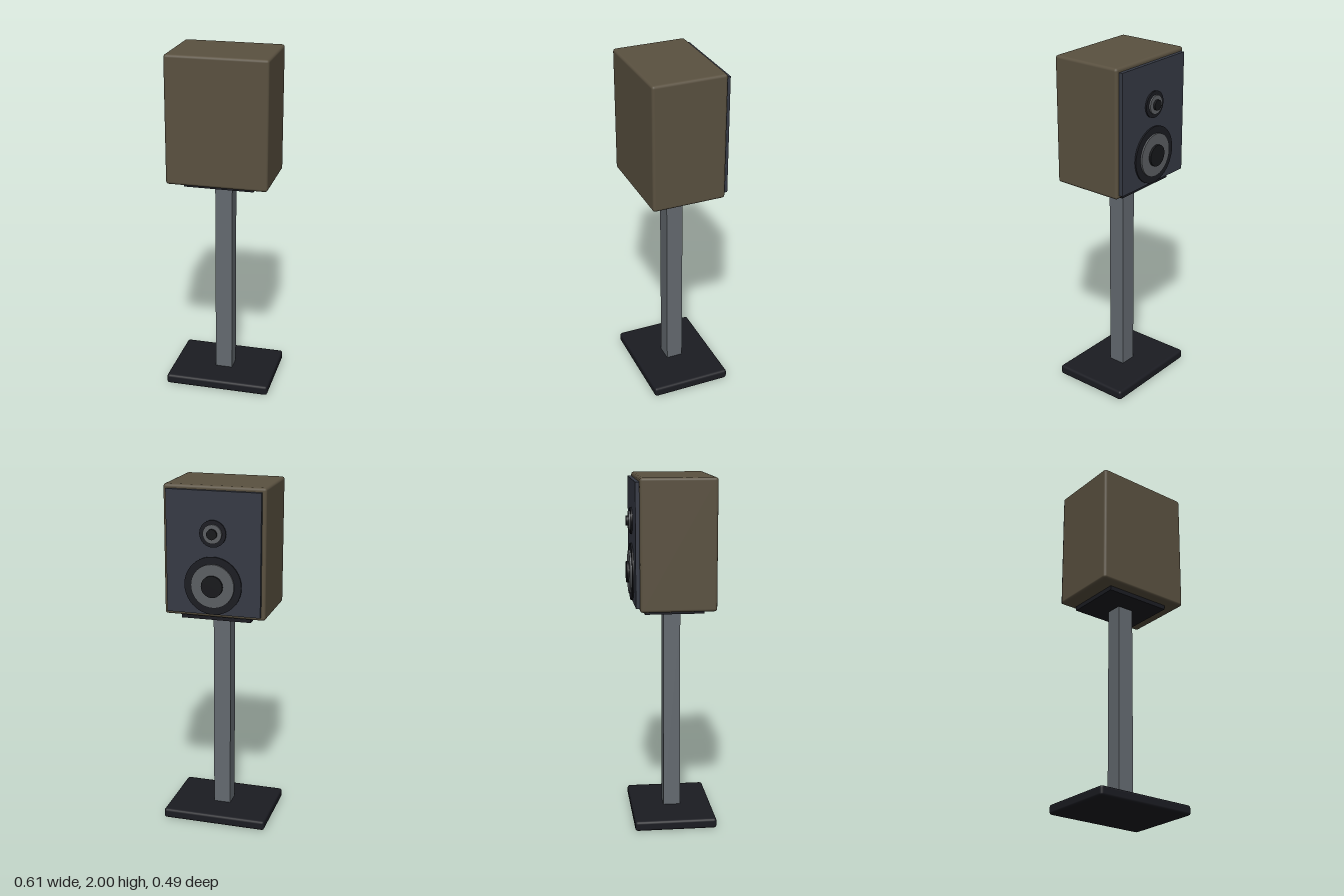
import * as THREE from 'three';
import { RoundedBoxGeometry } from 'three/addons/geometries/RoundedBoxGeometry.js';

const mat = (color) => new THREE.MeshStandardMaterial({ color });

export function createModel() {
  const model = new THREE.Group();
  const wood = mat(0x5a5140), black = mat(0x1b1c22), slate = mat(0x363a45);
  const steel = mat(0x646a70), cone = mat(0x5c5f63), rubber = mat(0x17181b);

  // Box given by its extents; a radius softens the edges
  function box(name, material, [x0, x1], [y0, y1], [z0, z1], radius = 0) {
    const size = [x1 - x0, y1 - y0, z1 - z0];
    const geometry = radius
      ? new RoundedBoxGeometry(...size, 2, radius)
      : new THREE.BoxGeometry(...size);
    const mesh = new THREE.Mesh(geometry, material);
    mesh.name = name;
    mesh.position.set((x0 + x1) / 2, (y0 + y1) / 2, (z0 + z1) / 2);
    model.add(mesh);
  }

  // Stand
  box('base', black, [-0.307, 0.307], [0, 0.057], [-0.227, 0.243], 0.015);
  box('column', steel, [-0.05, 0.05], [0.055, 1.232], [-0.038, 0.06]);
  box('topPlate', black, [-0.2, 0.2], [1.242, 1.275], [-0.157, 0.177]);

  // Cabinet and the baffle on its back face
  box('cabinet', wood, [-0.29, 0.29], [1.268, 2], [-0.19, 0.237], 0.016);
  box('baffle', slate, [-0.268, 0.268], [1.29, 1.977], [-0.212, -0.18]);

  // Driver: stacked discs stepping outward from the baffle
  function driver(name, y, radii) {
    const group = new THREE.Group();
    group.name = name;
    group.position.set(0, y, 0);
    const layers = [
      ['surround', black, -0.205, -0.221],
      ['cone', cone, -0.215, -0.231],
      ['dustCap', rubber, -0.225, -0.244],
    ];
    layers.forEach(([part, material, z0, z1], i) => {
      const geometry = new THREE.CylinderGeometry(radii[i], radii[i], z0 - z1, 40);
      geometry.rotateX(Math.PI / 2);
      const disc = new THREE.Mesh(geometry, material);
      disc.name = part;
      disc.position.z = (z0 + z1) / 2;
      group.add(disc);
    });
    model.add(group);
  }
  driver('woofer', 1.455, [0.163, 0.123, 0.061]);
  driver('tweeter', 1.745, [0.075, 0.053, 0.029]);

  return model;
}
